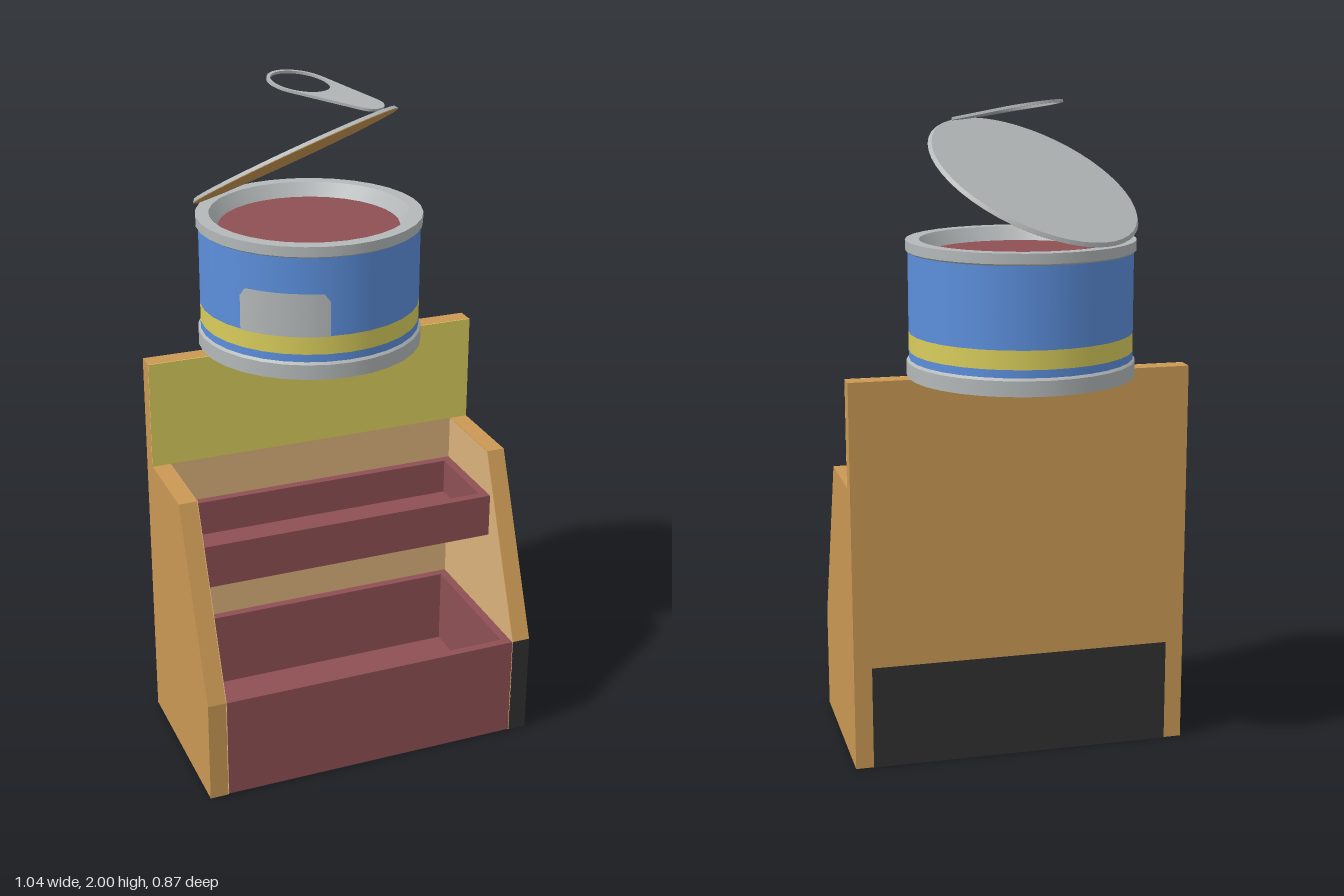
import * as THREE from 'three';
import { mergeGeometries } from 'three/addons/utils/BufferGeometryUtils.js';

const paint = (name, color, side = THREE.FrontSide) => {
  const m = new THREE.MeshStandardMaterial({ color, side });
  m.name = name;
  return m;
};

export function createModel() {
  const wood = paint('wood', 0xca9854);
  const tan = paint('light wood', 0xdbb27c);
  const maroon = paint('maroon', 0x8f5054);
  const yellow = paint('yellow', 0xd9cd5c);
  const black = paint('black', 0x303030);
  const blue = paint('blue', 0x5c8fdc);
  const metal = paint('metal', 0xb4b8b8);

  const model = new THREE.Group();
  const add = (parent, name, geometry, material) => {
    const mesh = new THREE.Mesh(geometry, material);
    mesh.name = name;
    parent.add(mesh);
    return mesh;
  };
  const group = (name, parent = model) => {
    const g = new THREE.Group();
    g.name = name;
    parent.add(g);
    return g;
  };
  // Box given by its minimum and maximum corners
  const block = (parent, name, material, [x0, y0, z0], [x1, y1, z1]) =>
    add(parent, name, new THREE.BoxGeometry(x1 - x0, y1 - y0, z1 - z0)
      .translate((x0 + x1) / 2, (y0 + y1) / 2, (z0 + z1) / 2), material);

  // Display stand
  const W = 0.52, IN = 0.465, BACK = -0.115, WALL = -0.06, FRONT = 0.435;
  const stand = group('displayStand');
  block(stand, 'backPanel', wood, [-W, 0, BACK], [W, 1.2, WALL]);
  block(stand, 'headerFace', yellow, [-W, 0.87, WALL], [W, 1.2, WALL + 0.003]);
  block(stand, 'backLining', tan, [-IN, 0.05, WALL], [IN, 0.87, WALL + 0.003]);

  // Side panels with sloped fronts, lined in light wood on the inside
  const profile = new THREE.Shape([
    [-FRONT, 0], [-FRONT, 0.32], [-0.21, 0.87], [-WALL, 0.87], [-WALL, 0],
  ].map(([x, y]) => new THREE.Vector2(x, y)));
  const sidePanel = (x, depth) =>
    new THREE.ExtrudeGeometry(profile, { depth, bevelEnabled: false })
      .rotateY(Math.PI / 2).translate(x, 0, 0);
  add(stand, 'leftPanel', sidePanel(IN, W - IN), wood);
  add(stand, 'rightPanel', sidePanel(-W, W - IN), wood);
  const lining = new THREE.ShapeGeometry(profile);
  add(stand, 'rightLining', lining.clone().rotateY(Math.PI / 2).translate(-IN + 0.002, 0, 0),
    paint('light wood lining', 0xdbb27c, THREE.DoubleSide));
  add(stand, 'leftLining', lining.clone().rotateY(Math.PI / 2).translate(IN - 0.002, 0, 0),
    stand.getObjectByName('rightLining').material);

  // Black faces
  block(stand, 'frontStrip', black, [IN, 0, FRONT - 0.002], [W, 0.32, FRONT + 0.001]);
  block(stand, 'backPlate', black, [-IN, 0, BACK - 0.001], [IN, 0.32, BACK + 0.002]);
  block(stand, 'basePlate', black, [-IN, -0.001, BACK], [IN, 0.003, FRONT - 0.003]);

  // Open trays
  const tray = (name, y0, floorY, y1, z1) => {
    const g = group(name, stand), x = IN - 0.003, t = 0.026, z0 = WALL + 0.003;
    block(g, 'floor', maroon, [-x, y0, z0], [x, floorY, z1]);
    block(g, 'frontWall', maroon, [-x, floorY, z1 - t], [x, y1, z1]);
    block(g, 'backWall', maroon, [-x, floorY, z0], [x, y1, z0 + t]);
    block(g, 'leftWall', maroon, [x - t, floorY, z0 + t], [x, y1, z1 - t]);
    block(g, 'rightWall', maroon, [-x, floorY, z0 + t], [t - x, y1, z1 - t]);
  };
  tray('lowerTray', 0.003, 0.08, 0.32, FRONT);
  tray('upperTray', 0.6, 0.625, 0.735, 0.245);

  // Tin can: each pair of profile points becomes its own crisp band
  const can = group('can');
  can.position.z = -0.097;
  const band = (name, material, points) => {
    const v = points.map(([r, y]) => new THREE.Vector2(r, y));
    const parts = v.slice(1).map((p, i) => new THREE.LatheGeometry([v[i], p], 32));
    return add(can, name, mergeGeometries(parts), material);
  };
  const R = 0.33, RIM = 0.337;
  band('bottomRim', metal, [[0, 1.2], [RIM, 1.2], [RIM, 1.245], [R, 1.252]]);
  band('lowerBody', blue, [[R, 1.252], [R, 1.275]]);
  band('stripe', yellow, [[R, 1.275], [R, 1.33]]);
  band('body', blue, [[R, 1.33], [R, 1.565]]);
  band('topRim', metal, [[R, 1.565], [RIM, 1.57], [RIM, 1.6], [0.297, 1.6], [0.27, 1.56]]);
  band('contents', maroon, [[0.27, 1.56], [0, 1.56]].map(([r, y]) => [r, y]));

  // Label patch wrapped round the can, with rounded top corners
  const a0 = -1.0, a1 = -0.18, label = new THREE.PlaneGeometry(1, 1, 16, 1);
  const pos = label.attributes.position;
  for (let i = 0; i < pos.count; i++) {
    const u = pos.getX(i) + 0.5, angle = a0 + (a1 - a0) * u;
    const corner = Math.max(0, Math.abs(2 * u - 1) - 0.8) / 0.2;
    const drop = 0.025 * (1 - Math.sqrt(1 - corner * corner));
    const y = pos.getY(i) > 0 ? 1.46 - drop : 1.33;
    pos.setXYZ(i, 0.334 * Math.sin(angle), y, 0.334 * Math.cos(angle));
  }
  label.computeVertexNormals();
  add(can, 'labelPatch', label, metal);

  // Turn a part's own up axis to the given normal
  const UP = new THREE.Vector3(0, 1, 0);
  const tilt = (object, x, y, z) =>
    object.quaternion.setFromUnitVectors(UP, new THREE.Vector3(x, y, z).normalize());

  // Raised lid
  const lid = group('lid');
  lid.position.set(-0.038, 1.77, -0.113);
  tilt(lid, -0.288, 0.865, -0.41);
  add(lid, 'lidTop', new THREE.CylinderGeometry(0.321, 0.329, 0.01, 48), metal);
  add(lid, 'lidUnderside', new THREE.CylinderGeometry(0.326, 0.326, 0.002, 48)
    .translate(0, -0.006, 0), wood);

  // Pull tab: a ring tapering to a small rounded tip
  const big = 0.098, small = 0.053, length = 0.213;
  const a = Math.acos((big - small) / length);
  const outline = new THREE.Shape();
  outline.absarc(0, 0, big, a, Math.PI * 2 - a, false);
  outline.absarc(length, 0, small, -a, a, false);
  outline.closePath();
  const hole = new THREE.Path();
  hole.absarc(0, 0, 0.088, 0, Math.PI * 2, true);
  outline.holes.push(hole);
  const tab = group('pullTab');
  tab.position.set(-0.02, 1.98, -0.112);
  tilt(tab, 0.116, 1, 0.132);
  add(tab, 'tabPlate', new THREE.ExtrudeGeometry(outline, {
    depth: 0.008, bevelEnabled: false, curveSegments: 24,
  }).translate(0, 0, -0.004).rotateX(-Math.PI / 2).rotateY(-Math.atan2(0.16, 0.14)), metal);

  return model;
}
